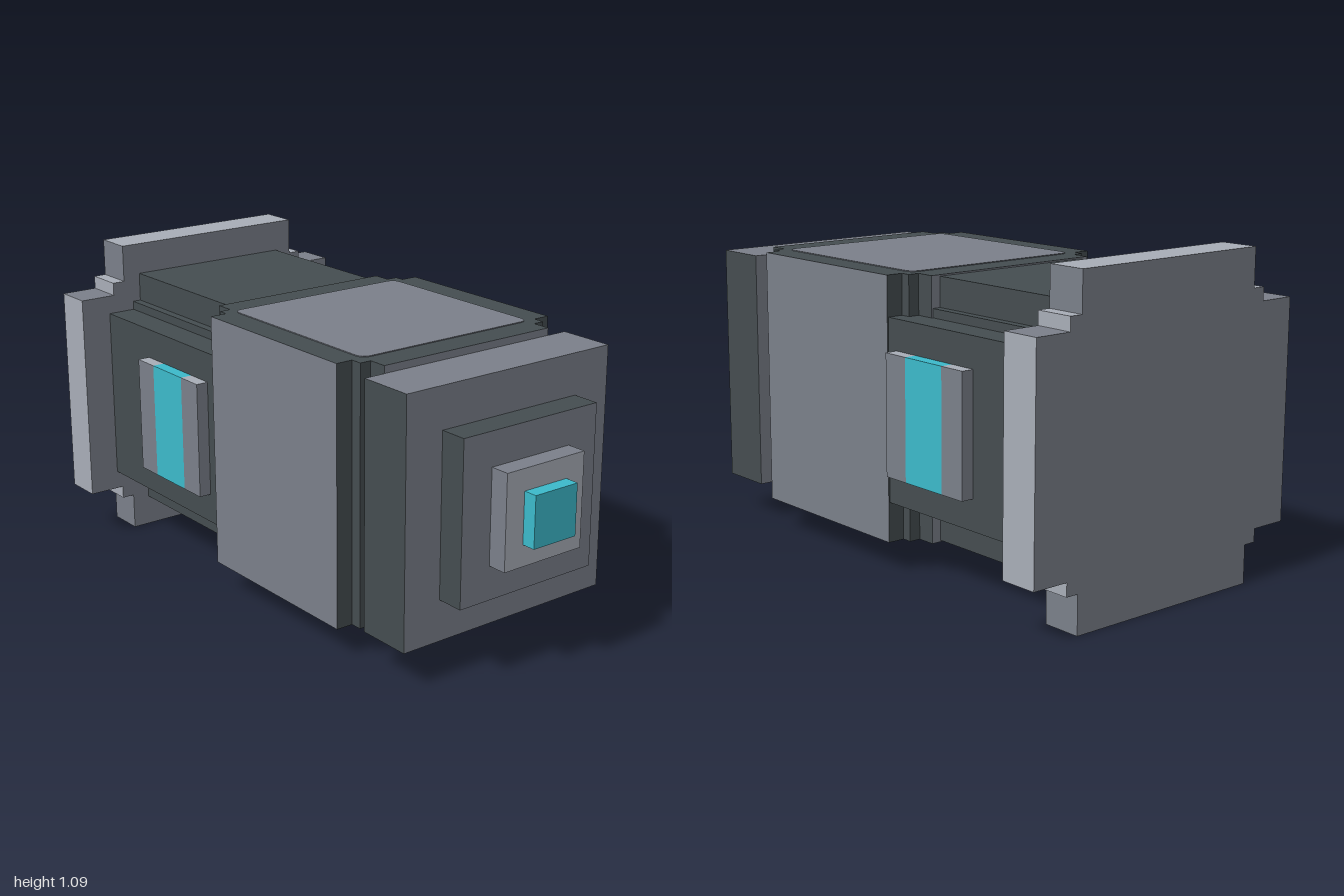
import * as THREE from 'three';

const material = (name, color) => {
  const m = new THREE.MeshStandardMaterial({ color });
  m.name = name;
  return m;
};

export function createModel() {
  const light = material('light grey', 0xa9aeb8);
  const grey = material('mid grey', 0x7b808a);
  const dark = material('dark slate', 0x454d50);
  const cyan = material('cyan', 0x3cbacb);

  const model = new THREE.Group();
  model.name = 'canister';
  const body = new THREE.Group(); // local origin lies on the long axis
  body.name = 'body';
  body.position.y = 0.545;
  model.add(body);

  // Box given by its limits; colours are one material or [x faces, y faces, z faces]
  function box(name, [x0, x1], [y0, y1], [z0, z1], colours, parent = body) {
    const mats = Array.isArray(colours) ? colours.flatMap((c) => [c, c]) : colours;
    const mesh = new THREE.Mesh(new THREE.BoxGeometry(x1 - x0, y1 - y0, z1 - z0), mats);
    mesh.position.set((x0 + x1) / 2, (y0 + y1) / 2, (z0 + z1) / 2);
    mesh.name = name;
    parent.add(mesh);
    return mesh;
  }
  const half = (h) => [-h, h];

  // Cross-shaped base plate with stepped inner corners
  const plateX = [-1, -0.865];
  box('basePlateCore', plateX, half(0.415), half(0.415), [grey, light, light]);
  for (let i = 0; i < 4; i++) {
    const arm = new THREE.Group();
    arm.name = 'basePlateArm';
    arm.rotation.x = (i * Math.PI) / 2;
    box('armBlock', plateX, [0.415, 0.545], half(0.37), [grey, light, grey], arm);
    body.add(arm);
  }

  // Rear section: square core with raised panels on four sides
  box('rearCore', [-0.865, -0.29], half(0.335), half(0.335), dark);
  box('rearTopBottomPanel', [-0.865, -0.29], half(0.435), half(0.305), dark);
  box('rearSidePanel', [-0.865, -0.19], half(0.305), half(0.435), dark);

  // Main block with stepped necks at both ends
  box('mainBlock', [-0.19, 0.49], half(0.44), half(0.44), [dark, dark, grey]);
  for (const [neck, step] of [
    [[-0.29, -0.225], [-0.225, -0.19]],
    [[0.53, 0.595], [0.49, 0.53]],
  ]) {
    box('neck', neck, half(0.44), half(0.34), [grey, dark, dark]);
    box('neckStep', step, half(0.44), half(0.38), dark);
  }

  // Rounded inlays on top and bottom of the main block
  const a = 0.345, r = 0.035;
  const outline = new THREE.Shape();
  outline.moveTo(-a + r, -a);
  outline.lineTo(a - r, -a);
  outline.quadraticCurveTo(a, -a, a, -a + r);
  outline.lineTo(a, a - r);
  outline.quadraticCurveTo(a, a, a - r, a);
  outline.lineTo(-a + r, a);
  outline.quadraticCurveTo(-a, a, -a, a - r);
  outline.lineTo(-a, -a + r);
  outline.quadraticCurveTo(-a, -a, -a + r, -a);
  const inlay = new THREE.ExtrudeGeometry(outline, { depth: 0.003, bevelEnabled: false, curveSegments: 6 });
  for (const s of [1, -1]) {
    const mesh = new THREE.Mesh(inlay, grey);
    mesh.name = s > 0 ? 'topInlay' : 'bottomInlay';
    mesh.rotation.x = (-s * Math.PI) / 2;
    mesh.position.set(0.15, s * 0.44, 0);
    body.add(mesh);
  }

  // Head and its shrinking tiers
  box('head', [0.595, 0.79], half(0.415), half(0.415), [grey, grey, dark]);
  box('headTier', [0.79, 0.885], half(0.275), half(0.275), [grey, dark, dark]);
  box('tipMount', [0.885, 0.952], half(0.16), half(0.16), [light, grey, grey]);
  box('tip', [0.952, 1], half(0.087), half(0.087), cyan);

  // Side gauges: grey blocks with a cyan band between them
  for (const s of [1, -1]) {
    const gauge = new THREE.Group();
    gauge.name = s > 0 ? 'frontGauge' : 'backGauge';
    const z = s > 0 ? [0.435, 0.478] : [-0.478, -0.435];
    box('gaugeEnd', [-0.603, -0.505], half(0.202), z, [grey, light, grey], gauge);
    box('gaugeBand', [-0.505, -0.328], half(0.202), z, cyan, gauge);
    box('gaugeEnd', [-0.328, -0.23], half(0.202), z, [grey, light, grey], gauge);
    body.add(gauge);
  }

  return model;
}
